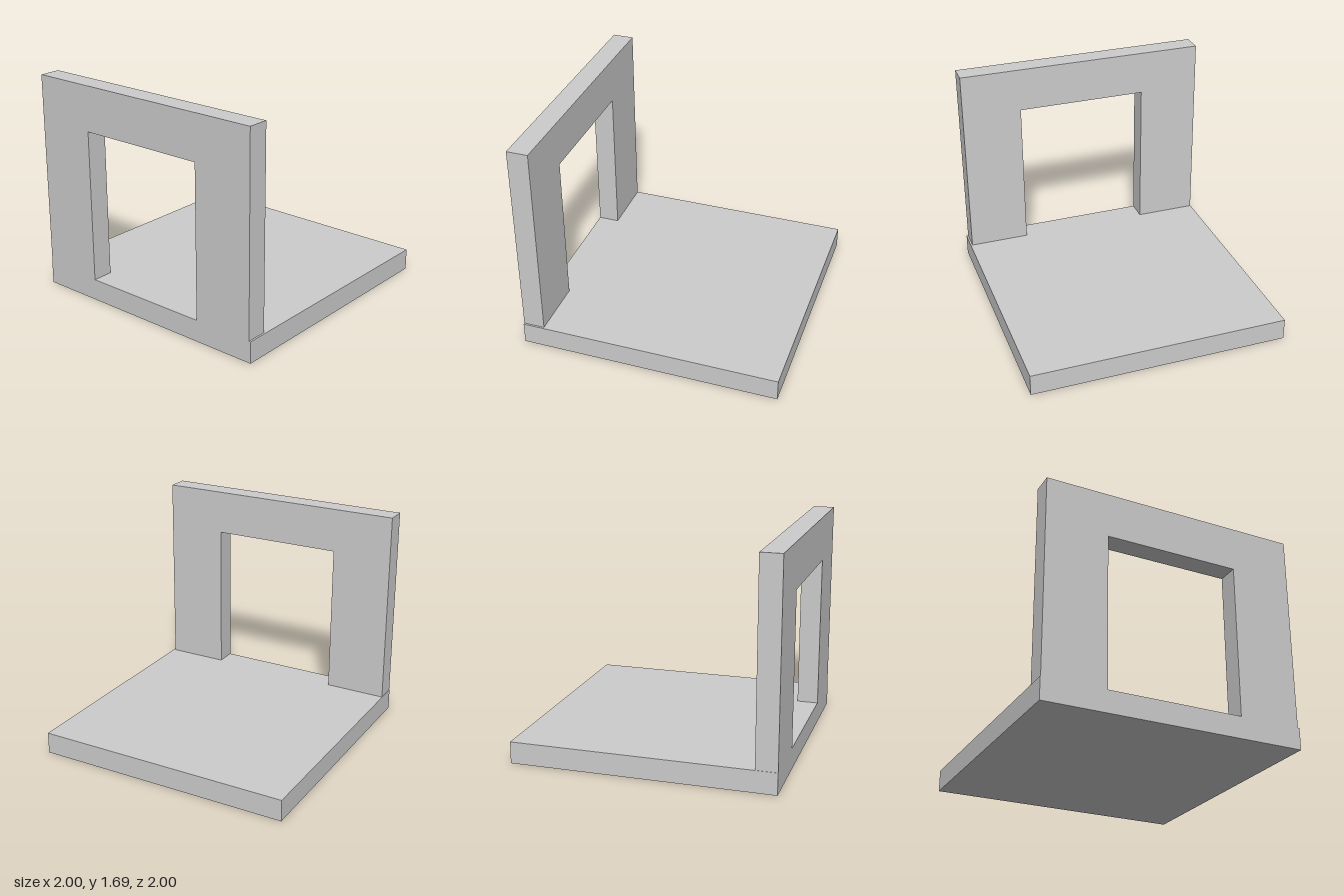
import * as THREE from 'three';

export function createModel() {
  const model = new THREE.Group();
  const material = new THREE.MeshStandardMaterial({ color: 0xcccccc, flatShading: true });
  const add = (name, geometry) => {
    const mesh = new THREE.Mesh(geometry, material);
    mesh.name = name;
    model.add(mesh);
    return mesh;
  };
  const baseTop = 0.167, depth = 0.163;

  // Square floor slab
  add('floorSlab', new THREE.BoxGeometry(2, baseTop, 2)).position.y = baseTop / 2;

  // Front wall: an upside-down U around the doorway, standing on the slab
  const outline = [
    [-0.997, baseTop], [-0.517, baseTop], [-0.517, 1.342], [0.513, 1.342],
    [0.513, baseTop], [0.986, baseTop], [0.986, 1.688], [-0.994, 1.688],
  ].map(([x, y]) => new THREE.Vector2(x, y));
  const wall = new THREE.ExtrudeGeometry(new THREE.Shape(outline), { depth, bevelEnabled: false });
  add('doorwayWall', wall).position.z = 1 - depth;

  return model;
}
